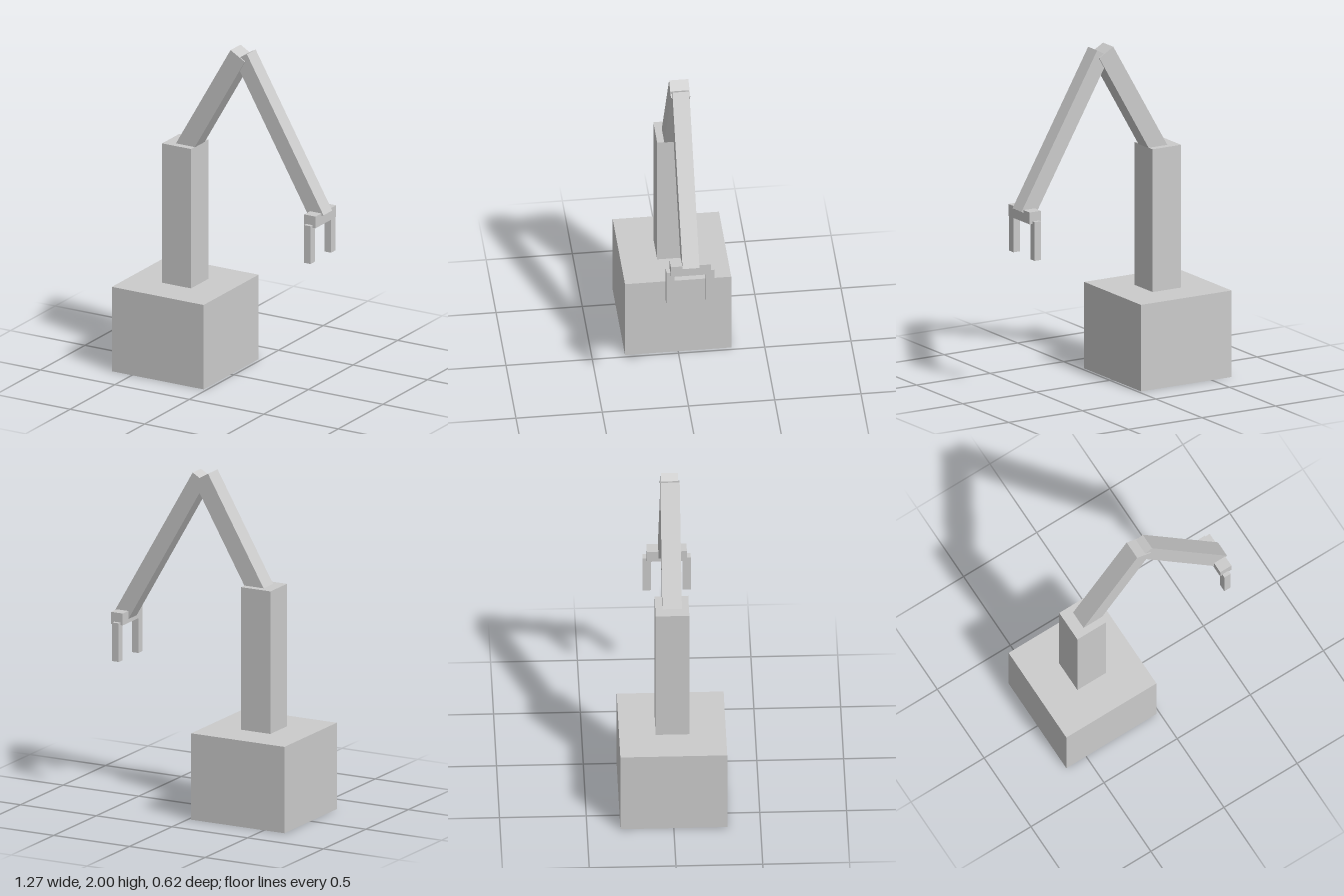
import * as THREE from 'three';

export function createModel() {
  const model = new THREE.Group();
  const material = new THREE.MeshStandardMaterial({ color: 0xcccccc, flatShading: true });

  // Box with given size and centre, optionally tilted in the front plane
  const addBox = (name, [w, h, d], [x, y, z], tilt = 0) => {
    const mesh = new THREE.Mesh(new THREE.BoxGeometry(w, h, d), material);
    mesh.name = name;
    mesh.position.set(x, y, z);
    mesh.rotation.z = tilt;
    model.add(mesh);
  };

  // Pedestal and column
  addBox('base', [0.616, 0.515, 0.616], [-0.327, 0.2575, 0]);
  addBox('column', [0.194, 0.85, 0.194], [-0.327, 0.94, 0]);

  // Two arm segments, each 30 degrees off vertical, meeting at the elbow
  const tilt = Math.PI / 6;
  addBox('upperArm', [0.11, 0.77, 0.112], [-0.134, 1.639, 0], -tilt);
  addBox('forearm', [0.097, 1.028, 0.098], [0.3315, 1.522, 0], tilt);

  // Gripper: crossbar with a finger at each end
  addBox('gripperBar', [0.076, 0.071, 0.231], [0.579, 1.075, 0]);
  for (const side of [-1, 1]) {
    addBox(side > 0 ? 'frontFinger' : 'backFinger', [0.043, 0.23, 0.047], [0.576, 0.94, side * 0.115]);
  }

  return model;
}
